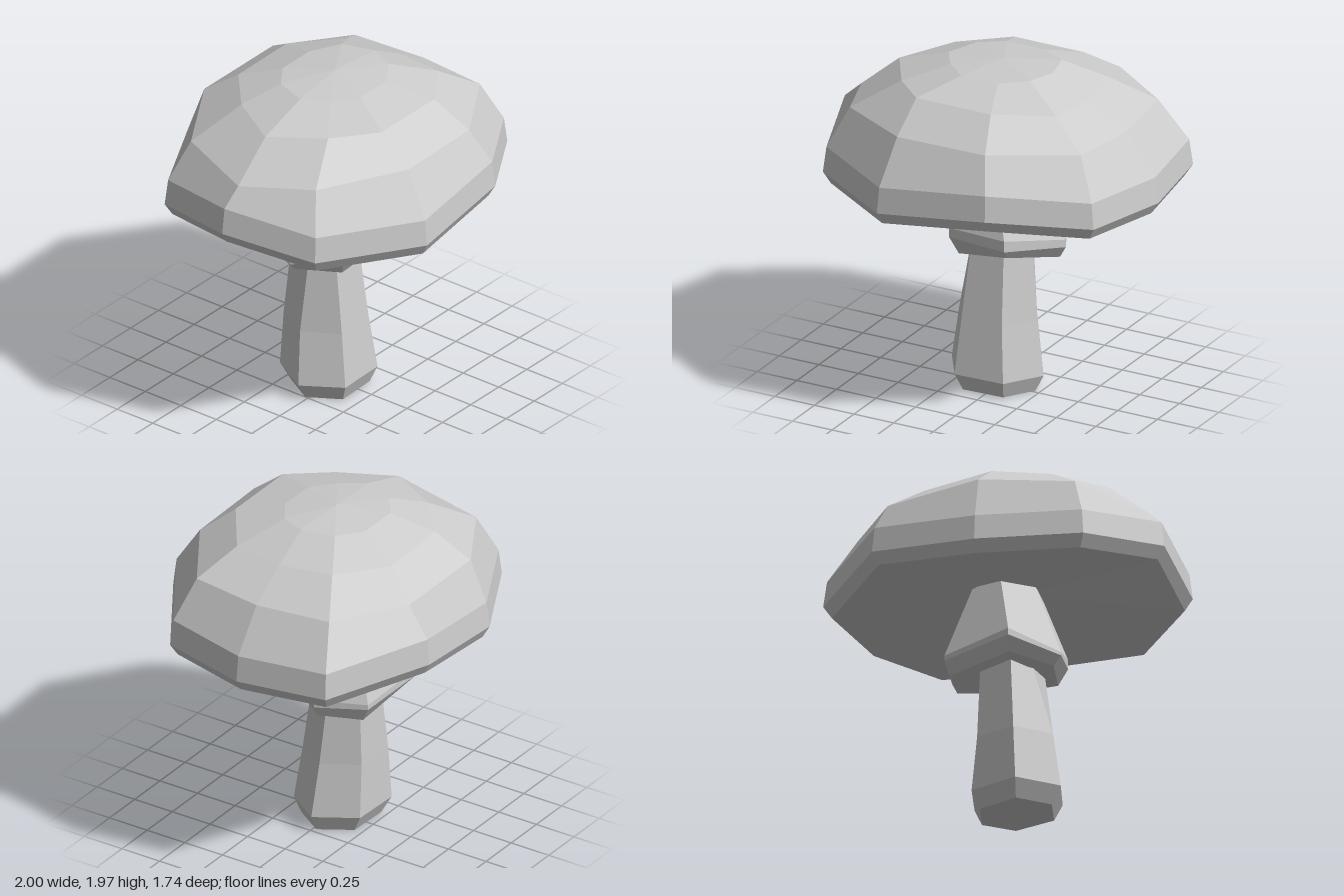
import * as THREE from 'three';

const material = new THREE.MeshStandardMaterial({ color: 0xcccccc });

// Skins rings of [x, y, z] points from bottom to top; a one-point ring closes an end.
// Ring points run from +x towards +z. Every four-sided facet gets one flat normal.
function loft(name, rings) {
  const n = Math.max(...rings.map((r) => r.length));
  const positions = [];
  const normals = [];
  const at = (ring, i) => new THREE.Vector3(...ring[i % ring.length]);
  for (let k = 0; k + 1 < rings.length; k++) {
    const [low, high] = [rings[k], rings[k + 1]];
    for (let i = 0; i < n; i++) {
      const [a, b, c, d] = [at(low, i), at(low, i + 1), at(high, i + 1), at(high, i)];
      const normal = d.clone().sub(b).cross(a.clone().sub(c)).normalize();
      const corners = [];
      if (low.length > 1) corners.push(a, d, b);
      if (high.length > 1) corners.push(b, d, c);
      for (const corner of corners) {
        positions.push(...corner);
        normals.push(...normal);
      }
    }
  }
  const geometry = new THREE.BufferGeometry();
  geometry.setAttribute('position', new THREE.Float32BufferAttribute(positions, 3));
  geometry.setAttribute('normal', new THREE.Float32BufferAttribute(normals, 3));
  const mesh = new THREE.Mesh(geometry, material);
  mesh.name = name;
  return mesh;
}

// Flat ring from [x, z] pairs
const level = (y, points) => points.map(([x, z]) => [x, y, z]);

function createCap() {
  // Wavy rim: [x, z, lift] of the widest outline, repeated smaller and at other heights
  const outline = [[1, -0.01, 0], [0.88, 0.51, 0.012], [0.37, 0.83, 0.07], [-0.29, 0.87, 0],
    [-0.83, 0.51, 0], [-1, -0.01, 0.08], [-0.83, -0.55, 0], [-0.29, -0.83, 0],
    [0.37, -0.87, 0.08], [0.92, -0.55, 0.012]];
  const rim = [[0.955, 1.23], [1, 1.3], [0.98, 1.45]].map(([s, y]) =>
    outline.map(([x, z, lift]) => [x * s, y + lift, z * s]));
  // Dome rings, irregular and flatter on the two sides
  const shoulder = [[0.8, 1.69, -0.01], [0.75, 1.7, 0.42], [0.3, 1.71, 0.7], [-0.25, 1.71, 0.71],
    [-0.71, 1.68, 0.42], [-0.87, 1.63, 0], [-0.71, 1.68, -0.46], [-0.25, 1.71, -0.73],
    [0.36, 1.71, -0.73], [0.75, 1.7, -0.46]];
  const upper = [[0.56, 1.83, 0], [0.53, 1.84, 0.3], [0.23, 1.87, 0.51], [-0.24, 1.87, 0.51],
    [-0.45, 1.85, 0.3], [-0.63, 1.835, 0], [-0.45, 1.85, -0.31], [-0.2, 1.85, -0.53],
    [0.24, 1.845, -0.54], [0.51, 1.84, -0.32]];
  const crown = [[0.34, 1.95, 0], [0.28, 1.945, 0.15], [0.13, 1.935, 0.25], [-0.1, 1.935, 0.25],
    [-0.23, 1.935, 0.14], [-0.32, 1.935, 0], [-0.25, 1.935, -0.19], [-0.11, 1.935, -0.29],
    [0.13, 1.935, -0.29], [0.29, 1.945, -0.19]];
  return loft('cap', [[[0, 1.35, 0]], ...rim, shoulder, upper, crown, [[0.02, 1.965, -0.02]]]);
}

function createSkirt() {
  // Widest outline as [x, z, lower y, upper y]; its edge stands upright for a short way
  const outline = [[0.365, -0.1, 0.865, 0.91], [0.17, 0.25, 0.925, 0.99], [-0.2, 0.21, 0.925, 0.98],
    [-0.34, -0.06, 0.87, 0.89], [-0.22, -0.4, 0.9, 0.94], [0.23, -0.37, 0.87, 0.9]];
  return loft('skirt', [
    [[0, 0.86, -0.06]],
    [[0.33, 0.8, -0.1], [0.15, 0.86, 0.18], [-0.16, 0.82, 0.17],
      [-0.29, 0.82, -0.06], [-0.18, 0.83, -0.34], [0.22, 0.79, -0.33]],
    outline.map(([x, z, y]) => [x, y, z]),
    outline.map(([x, z, , y]) => [x, y, z]),
    level(1.37, [[0.19, -0.08], [0.03, 0.11], [-0.08, 0.12],
      [-0.15, -0.05], [-0.06, -0.25], [0.13, -0.22]]),
    [[0, 1.37, -0.05]],
  ]);
}

function createStem() {
  return loft('stem', [
    [[-0.02, 0, -0.02]],
    level(0, [[0.22, -0.02], [0.11, 0.15], [-0.14, 0.16], [-0.25, -0.02], [-0.14, -0.21], [0.11, -0.2]]),
    level(0.1, [[0.27, -0.02], [0.13, 0.19], [-0.17, 0.2], [-0.31, -0.02], [-0.17, -0.26], [0.13, -0.25]]),
    level(0.42, [[0.22, -0.04], [0.1, 0.15], [-0.15, 0.16], [-0.27, -0.04], [-0.15, -0.25], [0.1, -0.24]]),
    level(0.9, [[0.17, -0.07], [0.08, 0.09], [-0.12, 0.09], [-0.14, -0.07], [-0.11, -0.22], [0.09, -0.22]]),
    [[0, 0.9, -0.07]],
  ]);
}

export function createModel() {
  const mushroom = new THREE.Group();
  mushroom.name = 'mushroom';
  mushroom.add(createCap(), createSkirt(), createStem());
  return mushroom;
}
